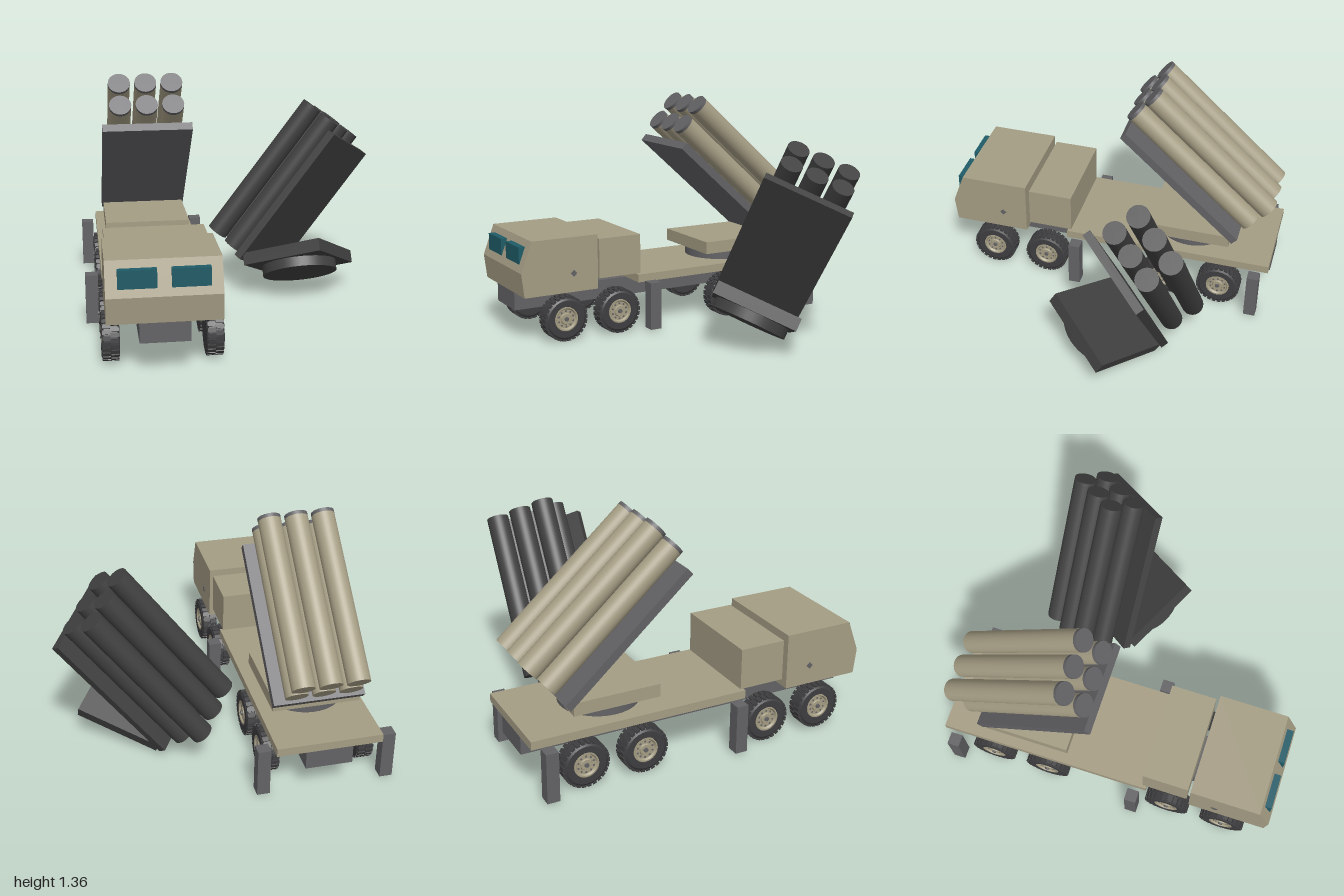
import * as THREE from 'three';
import { toCreasedNormals } from 'three/addons/utils/BufferGeometryUtils.js';

const make = (name, hex) => {
  const m = new THREE.MeshStandardMaterial({ color: hex });
  m.name = name;
  return m;
};

const TRUCK_X = -0.507;
const TILT = THREE.MathUtils.degToRad(42);

export function createModel() {
  const tan = make('sandPaint', 0xa59d84);
  const grey = make('steelGrey', 0x636366);
  const rubber = make('tyreRubber', 0x3e3e40);
  const glass = make('windowGlass', 0x1f5c68);
  const black = make('blackPaint', 0x404040);

  const model = new THREE.Group();
  model.name = 'launcherTruck';

  function add(parent, name, geometry, material, x = 0, y = 0, z = 0) {
    const mesh = new THREE.Mesh(geometry, material);
    mesh.name = name;
    mesh.position.set(x, y, z);
    parent.add(mesh);
    return mesh;
  }
  // Box given by its extents on each axis
  function box(parent, name, material, [x0, x1], [y0, y1], [z0, z1]) {
    return add(parent, name, new THREE.BoxGeometry(x1 - x0, y1 - y0, z1 - z0), material,
      (x0 + x1) / 2, (y0 + y1) / 2, (z0 + z1) / 2);
  }

  const truck = new THREE.Group();
  truck.name = 'truck';
  truck.position.x = TRUCK_X;
  model.add(truck);

  // Chassis, load deck and engine housing
  box(truck, 'chassis', grey, [-0.132, 0.132], [0.178, 0.289], [-0.995, 0.98]);
  box(truck, 'deck', tan, [-0.298, 0.298], [0.289, 0.337], [-1, 0.26]);
  box(truck, 'engineHousing', tan, [-0.283, 0.283], [0.342, 0.578], [0.238, 0.507]);

  // Cab: side profile (z, y) extruded across the truck
  const profile = new THREE.Shape([
    [0.525, 0.287], [0.983, 0.287], [1.0, 0.43], [0.933, 0.61], [0.525, 0.61],
  ].map(([z, y]) => new THREE.Vector2(z, y)));
  const cab = new THREE.ExtrudeGeometry(profile, { depth: 0.598, bevelEnabled: false });
  cab.rotateY(-Math.PI / 2);
  cab.translate(0.299, 0, 0);
  add(truck, 'cab', cab, tan);

  for (const s of [-1, 1]) {
    // Upright windscreen panes standing out of the sloped nose
    box(truck, 'windscreen', glass, [s * 0.137 - 0.1, s * 0.137 + 0.1], [0.472, 0.57], [0.93, 0.987]);
    // Door catch
    const catchPlate = add(truck, 'doorCatch', new THREE.CylinderGeometry(0.02, 0.02, 0.004, 4), grey,
      s * 0.3, 0.397, 0.677);
    catchPlate.rotation.z = Math.PI / 2;
    // Stabiliser legs
    for (const z of [0.19, -0.922]) {
      box(truck, 'stabiliserLeg', grey, [s * 0.353 - 0.036, s * 0.353 + 0.036],
        [0.014, 0.298], [z - 0.035, z + 0.035]);
    }
  }

  // Wheel parts, axis along y with the outer face at +y
  const lathe = (pts, n) => toCreasedNormals(
    new THREE.LatheGeometry(pts.map(([r, y]) => new THREE.Vector2(r, y)), n), 0.6);
  const tyreGeo = lathe([[0, -0.047], [0.11, -0.047], [0.126, -0.036], [0.126, 0.036],
    [0.11, 0.047], [0.074, 0.047], [0.07, 0.03], [0, 0.03]], 32);
  const rimGeo = lathe([[0.071, 0.03], [0.071, 0.046], [0.063, 0.046], [0.056, 0.036],
    [0.034, 0.036], [0.03, 0.044], [0, 0.044]], 32);
  const hubGeo = new THREE.CylinderGeometry(0.012, 0.014, 0.012, 12);
  const treadGeo = new THREE.BoxGeometry(0.012, 0.042, 0.022);
  const holeGeo = new THREE.CylinderGeometry(0.006, 0.006, 0.003, 8);

  function wheel(side, z) {
    const g = new THREE.Group();
    g.name = 'wheel';
    add(g, 'tyre', tyreGeo, rubber);
    add(g, 'rim', rimGeo, tan);
    add(g, 'hub', hubGeo, grey, 0, 0.046, 0);
    // Two staggered rows of tread blocks
    for (let i = 0; i < 52; i++) {
      const a = (i / 52) * Math.PI * 2;
      const block = add(g, 'treadBlock', treadGeo, rubber,
        Math.cos(a) * 0.127, i % 2 ? 0.022 : -0.022, Math.sin(a) * 0.127);
      block.rotation.y = -a;
    }
    // Ring of rim holes
    for (let i = 0; i < 10; i++) {
      const a = (i / 10) * Math.PI * 2;
      add(g, 'rimHole', holeGeo, grey, Math.cos(a) * 0.046, 0.036, Math.sin(a) * 0.046);
    }
    g.rotation.z = -side * Math.PI / 2;
    g.position.set(side * 0.273, 0.137, z);
    truck.add(g);
  }
  for (const z of [0.737, 0.394, -0.362, -0.705]) for (const s of [-1, 1]) wheel(s, z);

  // Launcher: turntable, platform, tilted back panel and six tubes
  function launcher(name, paint, metal) {
    const g = new THREE.Group();
    g.name = name;
    add(g, 'turntable', new THREE.CylinderGeometry(0.225, 0.225, 0.06, 40), metal, 0, -0.029, 0);
    box(g, 'platform', paint, [-0.25, 0.25], [0, 0.075], [-0.25, 0.25]);

    const rack = new THREE.Group();
    rack.name = 'tubeRack';
    rack.position.set(0, 0.371, 0.063);
    rack.rotation.x = -TILT;
    g.add(rack);
    add(rack, 'backPanel', new THREE.BoxGeometry(0.52, 0.048, 0.94), metal);
    const body = new THREE.CylinderGeometry(0.064, 0.064, 0.96, 32).rotateX(Math.PI / 2);
    const cap = new THREE.CylinderGeometry(0.064, 0.064, 0.02, 32).rotateX(Math.PI / 2);
    for (const y of [0.121, 0.271]) {
      for (const x of [-0.153, 0, 0.153]) {
        add(rack, 'tube', body, paint, x, y, 0.021);
        add(rack, 'tubeCap', cap, metal, x, y, 0.511);
      }
    }
    model.add(g);
    return g;
  }

  launcher('mountedLauncher', tan, grey).position.set(TRUCK_X, 0.395, -0.49);

  // Second launcher lies tipped beside the truck: orient by tube direction and panel width
  const second = launcher('tippedLauncher', black, black);
  const along = new THREE.Vector3(0.597, 0.802, 0.025).normalize();
  const across = new THREE.Vector3(0.561, -0.412, -0.717);
  const normal = along.clone().cross(across).normalize();
  across.crossVectors(normal, along);
  const up = along.clone().multiplyScalar(Math.sin(TILT)).addScaledVector(normal, Math.cos(TILT));
  const front = across.clone().cross(up);
  second.quaternion.setFromRotationMatrix(new THREE.Matrix4().makeBasis(across, up, front));
  second.position.set(0.405, 0.19, -0.147);

  return model;
}
